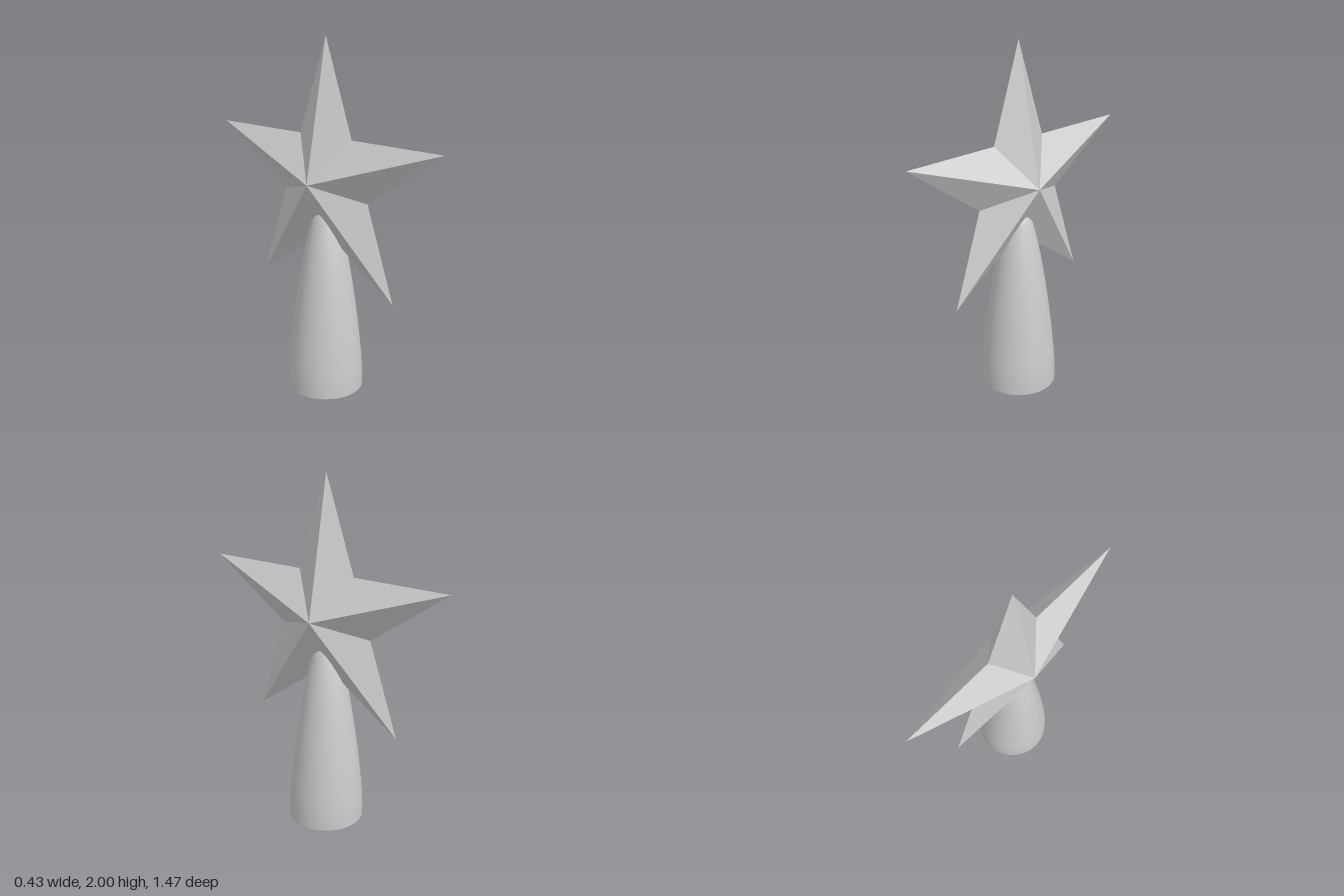
import * as THREE from 'three';

const STAR_Y = 1.227, STAR_R = 0.773, STAR_INNER = 0.295, STAR_DEPTH = 0.165;

// Five-pointed faceted star in the YZ plane, with an apex on each side
function starGeometry() {
  const rim = [];
  for (let i = 0; i < 10; i++) {
    const a = (i * Math.PI) / 5;
    const r = i % 2 ? STAR_INNER : STAR_R;
    rim.push([0, r * Math.cos(a), r * Math.sin(a)]);
  }
  const pos = [];
  for (let i = 0; i < 10; i++) {
    const p = rim[i], q = rim[(i + 1) % 10];
    pos.push(STAR_DEPTH, 0, 0, ...p, ...q);
    pos.push(-STAR_DEPTH, 0, 0, ...q, ...p);
  }
  const geo = new THREE.BufferGeometry();
  geo.setAttribute('position', new THREE.Float32BufferAttribute(pos, 3));
  geo.computeVertexNormals();
  return geo;
}

// Smooth curve through [radius, height] pairs
function profile(pairs) {
  const pts = pairs.map(([r, y]) => new THREE.Vector2(r, y));
  return new THREE.SplineCurve(pts).getPoints(40).map((p) => p.set(Math.max(p.x, 0), p.y));
}

export function createModel() {
  const grey = new THREE.MeshStandardMaterial({ color: 0xcccccc });
  grey.name = 'grey';
  const model = new THREE.Group();
  model.name = 'starTopper';

  const add = (name, geo) => {
    const mesh = new THREE.Mesh(geo, grey);
    mesh.name = name;
    model.add(mesh);
    return mesh;
  };

  add('star', starGeometry()).position.y = STAR_Y;

  // Hollow tapered socket: outer wall, bottom rim and inner wall
  const outer = [[0.214, 0], [0.213, 0.1], [0.203, 0.23], [0.182, 0.42],
    [0.157, 0.6], [0.127, 0.78], [0.092, 0.94], [0.06, 1.04], [0, 1.1]];
  const inner = [[0, 1.03], [0.035, 0.98], [0.068, 0.88], [0.097, 0.76],
    [0.125, 0.6], [0.149, 0.42], [0.169, 0.23], [0.178, 0.1], [0.179, 0]];
  add('socketOuterWall', new THREE.LatheGeometry(profile(outer), 64));
  add('socketInnerWall', new THREE.LatheGeometry(profile(inner), 64));
  add('socketRim', new THREE.LatheGeometry(
    [new THREE.Vector2(0.179, 0), new THREE.Vector2(0.214, 0)], 64));

  return model;
}
